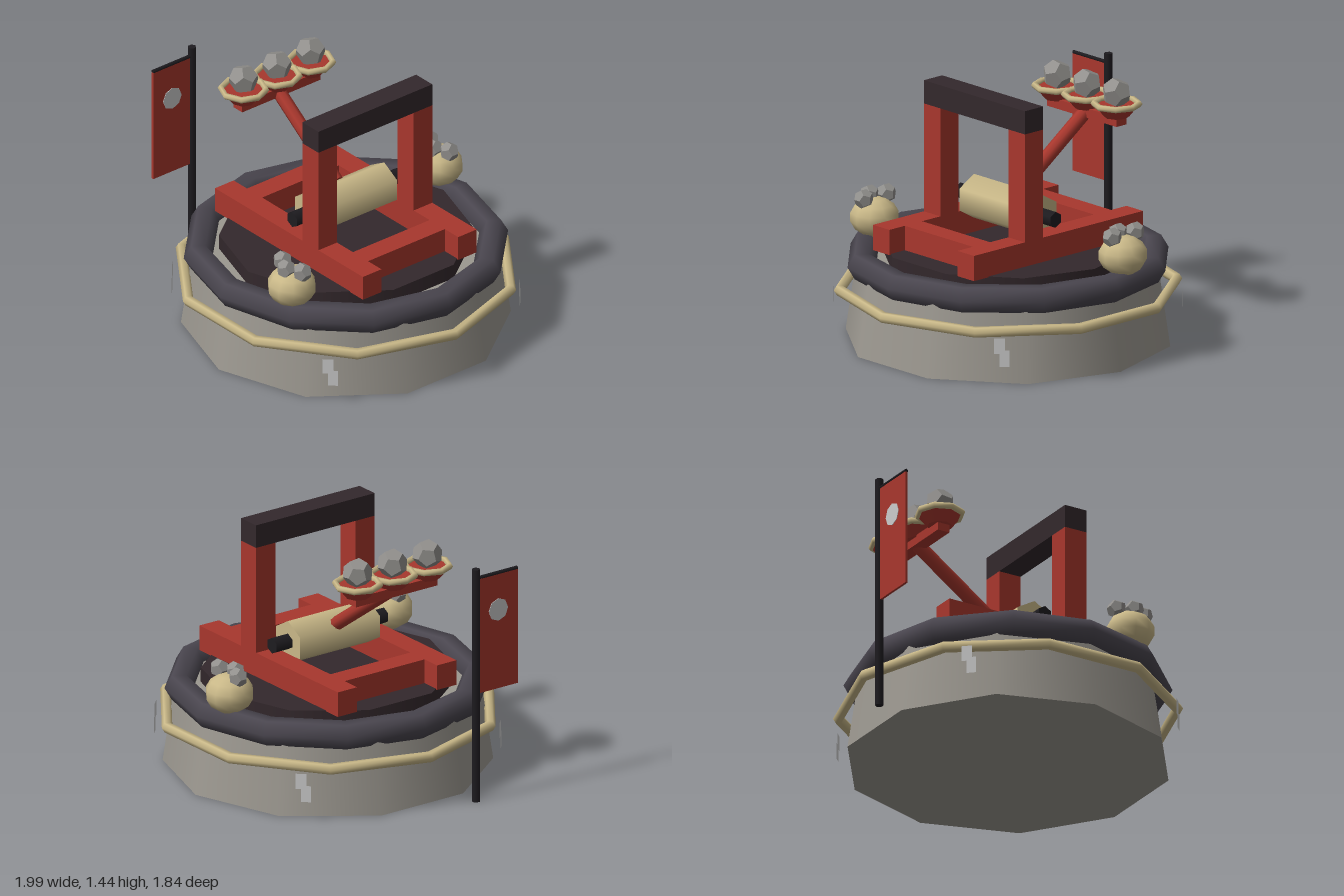
import * as THREE from 'three';

const mat = (color, opts = {}) => new THREE.MeshStandardMaterial({ color, ...opts });
const M = {
  stone: mat(0x9c9890),
  tyre: mat(0x4a464f),
  dark: mat(0x33282c),
  black: mat(0x1e1c20),
  red: mat(0xa8372d),
  gold: mat(0xc9b888),
  rock: mat(0x918f8c, { flatShading: true }),
  pale: mat(0xc8c8c4, { side: THREE.DoubleSide }),
};
const CX = 0.025; // turntable axis

export function createModel() {
  const root = new THREE.Group();

  const add = (name, geometry, material, x = 0, y = 0, z = 0, parent = root) => {
    const mesh = new THREE.Mesh(geometry, material);
    mesh.name = name;
    mesh.position.set(x, y, z);
    parent.add(mesh);
    return mesh;
  };
  // Box given by its extents on each axis
  const box = (name, material, [x0, x1], [y0, y1], [z0, z1]) =>
    add(name, new THREE.BoxGeometry(x1 - x0, y1 - y0, z1 - z0), material,
      (x0 + x1) / 2, (y0 + y1) / 2, (z0 + z1) / 2);
  const ring = (R, r, radial, sides) =>
    new THREE.TorusGeometry(R, r, radial, sides).rotateX(Math.PI / 2);
  // Cylinder between two points
  const rod = (name, material, a, b, r, sides) => {
    const from = new THREE.Vector3(...a), to = new THREE.Vector3(...b);
    const dir = to.clone().sub(from);
    const mesh = add(name, new THREE.CylinderGeometry(r, r, dir.length(), sides), material);
    mesh.position.copy(from).add(to).multiplyScalar(0.5);
    mesh.quaternion.setFromUnitVectors(new THREE.Vector3(0, 1, 0), dir.normalize());
    return mesh;
  };

  // Round base, rings and turntable
  add('base', new THREE.CylinderGeometry(0.842, 0.91, 0.46, 10), M.stone, CX, 0.23, 0);
  add('bumperRing', ring(0.825, 0.081, 6, 12), M.tyre, CX, 0.46, 0);
  add('trimRing', ring(0.935, 0.031, 6, 10), M.gold, CX, 0.303, 0);
  add('turntable', new THREE.CylinderGeometry(0.7, 0.7, 0.095, 10), M.dark, CX, 0.4975, 0);

  // Stepped plates around the base
  const step = new THREE.Shape();
  [[-0.042, 0.165], [0.018, 0.165], [0.018, 0.095], [0.042, 0.095], [0.042, 0],
    [-0.012, 0], [-0.012, 0.075], [-0.042, 0.075]]
    .forEach(([x, y], i) => (i ? step.lineTo(x, y) : step.moveTo(x, y)));
  const stepGeometry = new THREE.ShapeGeometry(step);
  for (let i = 0; i < 4; i++) {
    const a = Math.PI / 4 + (i * Math.PI) / 2;
    const plate = add('sidePlate', stepGeometry, M.pale,
      CX + 0.96 * Math.sin(a), 0.115, 0.96 * Math.cos(a));
    plate.rotation.y = a;
  }

  // Frame: side rails, cross bars, posts and top beam
  for (const s of [-1, 1]) {
    const z = s > 0 ? [0.275, 0.408] : [-0.408, -0.275];
    box('sideRail', M.red, [-0.61, 0.66], [0.54, 0.685], z);
    box('post', M.red, [0.14, 0.278], [0.685, 1.305], z);
  }
  for (const x of [[-0.495, -0.365], [0.415, 0.545]])
    box('crossBar', M.red, x, [0.54, 0.685], [-0.275, 0.275]);
  box('topBeam', M.dark, [0.14, 0.278], [1.305, 1.438], [-0.408, 0.408]);

  // Winding drum and axle
  const drum = (r, len) => new THREE.CylinderGeometry(r, r, len, 6).rotateX(Math.PI / 2);
  add('drum', drum(0.126, 0.55), M.gold, CX, 0.752, 0);
  add('axle', drum(0.046, 0.77), M.black, CX, 0.758, 0);

  // Throwing arm with a row of loaded bowls
  rod('throwingArm', M.red, [-0.055, 0.825, 0], [-0.58, 1.195, 0], 0.04, 8);
  box('bowlBar', M.red, [-0.605, -0.53], [1.155, 1.21], [-0.28, 0.28]);
  const bowlGeometry = new THREE.CylinderGeometry(0.125, 0.07, 0.067, 8);
  const rimGeometry = ring(0.125, 0.018, 6, 8);
  const shotGeometry = new THREE.DodecahedronGeometry(0.085);
  for (const z of [-0.24, 0, 0.24]) {
    const bowl = new THREE.Group();
    bowl.name = 'bowl';
    bowl.position.set(-0.567, 0, z);
    root.add(bowl);
    add('bowlCup', bowlGeometry, M.red, 0, 1.234, 0, bowl);
    add('bowlRim', rimGeometry, M.gold, 0, 1.273, 0, bowl);
    add('shot', shotGeometry, M.rock, 0, 1.337, 0, bowl).rotation.set(0.3, 0.4, 0.2);
  }

  // Sacks of spare stones
  const sackGeometry = new THREE.SphereGeometry(0.138, 10, 7).scale(1, 0.83, 1);
  const pebbleGeometry = new THREE.DodecahedronGeometry(0.056);
  for (const [x, z] of [[0.387, 0.69], [-0.113, -0.78]]) {
    const sack = new THREE.Group();
    sack.name = 'stoneSack';
    sack.position.set(x, 0, z);
    root.add(sack);
    add('sack', sackGeometry, M.gold, 0, 0.617, 0, sack);
    for (const [px, pz] of [[-0.085, -0.005], [0, 0.04], [0.085, -0.005]])
      add('pebble', pebbleGeometry, M.rock, px, 0.735, pz, sack);
  }

  // Banner on its pole
  const px = -0.977;
  rod('bannerPole', M.black, [px, 0, 0.267], [px, 1.37, 0.267], 0.024, 6);
  rod('bannerRod', M.black, [px, 1.315, 0.267], [px, 1.315, 0.548], 0.011, 6);
  box('banner', M.red, [px - 0.007, px + 0.007], [0.635, 1.308], [0.275, 0.55]);
  const disc = new THREE.CylinderGeometry(0.066, 0.066, 0.02, 8).rotateZ(Math.PI / 2);
  add('bannerDisc', disc, M.pale, px, 1.1, 0.415);

  return root;
}
